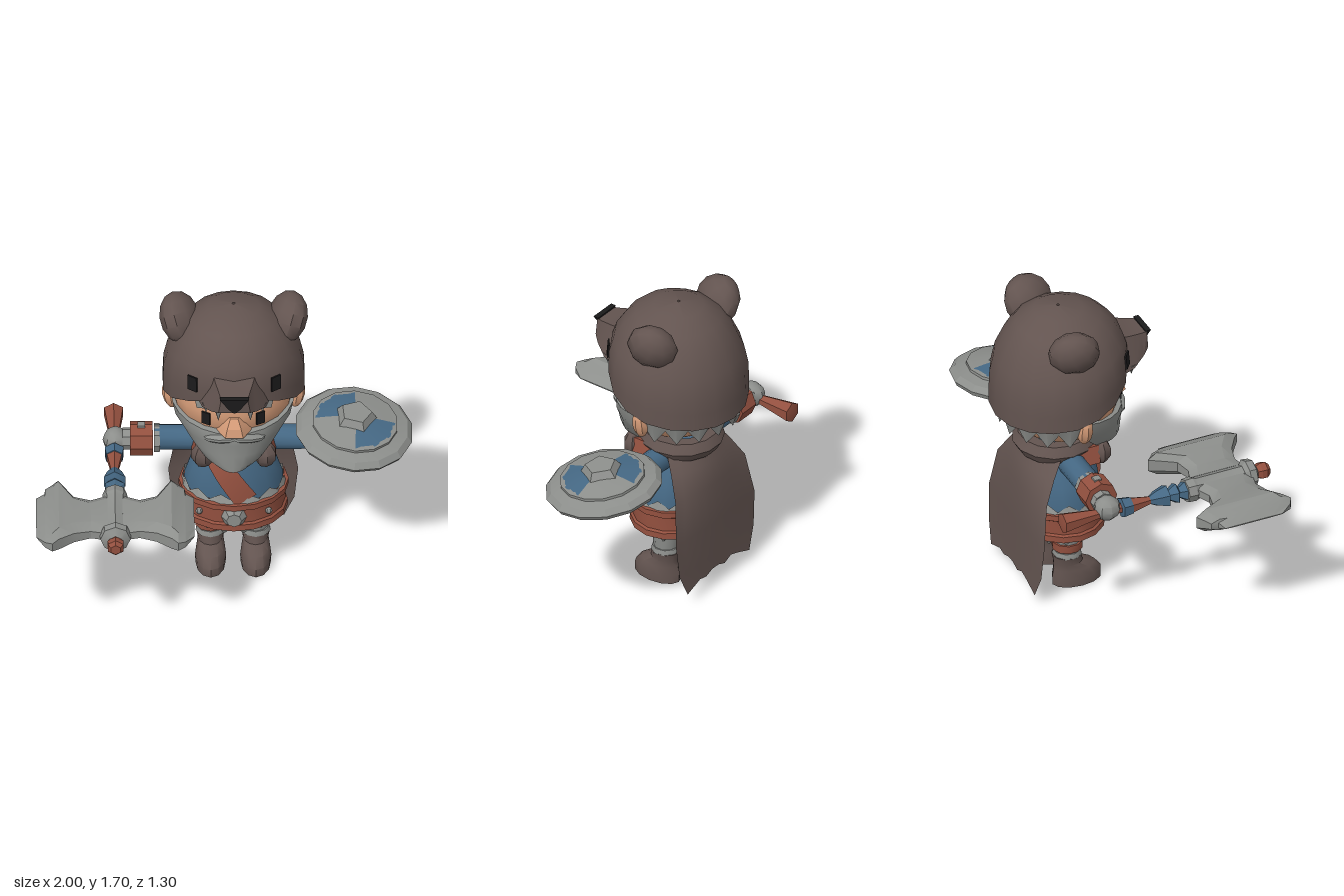
import * as THREE from 'three';
import { mergeVertices, toCreasedNormals } from 'three/addons/utils/BufferGeometryUtils.js';

const CX = 0.055, CZ = -0.29; // body axis
const mat = (name, color) => new THREE.MeshStandardMaterial({ name, color, side: THREE.DoubleSide });

export function createModel() {
  const root = new THREE.Group();
  root.name = 'warrior';
  const fur = mat('fur brown', 0x635450), grey = mat('steel grey', 0x8d8f8c), blue = mat('cloth blue', 0x456884);
  const red = mat('leather red', 0x93503f), skin = mat('skin', 0xd79d79), black = mat('black', 0x1b1a1b);

  function add(name, geo, m, pos = [0, 0, 0], rot = [0, 0, 0], parent = root, crease = 0.75) {
    const mesh = new THREE.Mesh(toCreasedNormals(geo, crease), m);
    mesh.name = name;
    mesh.position.set(...pos);
    mesh.rotation.set(...rot);
    parent.add(mesh);
    return mesh;
  }
  // Skin over a list of cross-sections
  function loft(rings, closed = true, caps = true) {
    const n = rings[0].length, idx = [], last = (rings.length - 1) * n;
    for (let i = 0; i < rings.length - 1; i++)
      for (let j = 0; j < (closed ? n : n - 1); j++) {
        const k = (j + 1) % n, a = i * n + j, b = i * n + k;
        idx.push(a, b, a + n, b, b + n, a + n);
      }
    if (closed && caps) for (let j = 1; j < n - 1; j++) {
      idx.push(0, j + 1, j);
      idx.push(last, last + j, last + j + 1);
    }
    const g = new THREE.BufferGeometry();
    g.setAttribute('position', new THREE.Float32BufferAttribute(rings.flat(2), 3));
    g.setIndex(idx);
    return g;
  }
  // Horizontal ellipse, or an arc of one
  const ring = (y, rx, rz, n = 16, x = CX, z = CZ, from = 0, len = Math.PI * 2) =>
    Array.from({ length: n }, (_, i) => {
      const a = from + len * i / (len > 6.28 ? n : n - 1);
      return [x + rx * Math.sin(a), y, z + rz * Math.cos(a)];
    });
  const lathe = (pts, n = 8) => mergeVertices(new THREE.LatheGeometry(pts.map(p => new THREE.Vector2(...p)), n));
  const sphere = (rx, ry, rz, w = 10, h = 7) => new THREE.SphereGeometry(1, w, h).scale(rx, ry, rz);
  const box = (w, h, d) => new THREE.BoxGeometry(w, h, d);
  const cylX = (r, len, n = 10) => new THREE.CylinderGeometry(r, r, len, n).rotateZ(Math.PI / 2);
  // Jagged trim: a straight edge joined to a toothed one
  function jagged(y0, r0, yA, yB, r1, n, from = 0, len = Math.PI * 2) {
    const a = ring(y0, r0[0], r0[1], n, CX, CZ, from, len);
    const b = ring(yA, r1[0], r1[1], n, CX, CZ, from, len).map((p, i) => [p[0], i % 2 ? yA : yB, p[2]]);
    return loft([a, b], len > 6.28, false);
  }

  // Legs and boots
  for (const s of [-1, 1]) {
    const x = 0.052 + s * 0.12;
    const boot = [[0, .08, .14, -.24], [.05, .083, .142, -.24], [.1, .076, .118, -.255], [.135, .068, .082, -.29], [.185, .078, .08, -.3]];
    add('boot', loft(boot.map(([y, rx, rz, z]) => ring(y, rx, rz, 12, x, z))), fur);
    add('leg', new THREE.CylinderGeometry(.085, .064, .22, 10), grey, [x, .28, -.295]);
    add('legTrim', new THREE.CylinderGeometry(.075, .081, .03, 9), grey, [x, .197, -.295]);
    if (s < 0) add('legStrap', new THREE.CylinderGeometry(.085, .083, .048, 10), red, [x, .247, -.295]);
  }

  // Torso, skirt and belt
  const torso = [[.48, .265, .215], [.57, .262, .212], [.66, .232, .203], [.74, .19, .19], [.82, .145, .165], [.88, .1, .12]];
  add('torso', loft(torso.map(([y, rx, rz]) => ring(y, rx, rz))), blue);
  add('hips', loft([ring(.27, .13, .1), ring(.31, .19, .16), ring(.37, .23, .2)]), grey);
  add('skirtTrim', jagged(.37, [.25, .23], .28, .33, [.205, .175], 24), grey);
  add('beltTrim', jagged(.51, [.28, .24], .575, .53, [.268, .222], 24), grey);
  const belt = [[.34, .265, .225], [.35, .288, .245], [.385, .287, .243], [.395, .275, .232], [.475, .275, .234], [.487, .292, .25], [.52, .292, .25], [.525, .262, .222]];
  add('belt', loft(belt.map(([y, rx, rz]) => ring(y, rx, rz))), red, [0, 0, 0], [0, 0, 0], root, .5);
  add('buckle', new THREE.CylinderGeometry(.04, .068, .04, 8).rotateX(Math.PI / 2), grey, [CX, .435, -.045], [0, 0, 0], root, .3);
  for (const s of [-1, 1]) add('beltStud', sphere(.02, .02, .015, 6, 4), grey, [CX + s * .185, .44, -.11]);

  // Sash across the chest
  const sash = [];
  for (let i = 0; i <= 8; i++) {
    const t = i / 8, y = .87 - .33 * t, x = -.1 + .22 * t;
    sash.push([-1, 1].map(s => {
      const px = x + s * .055, py = y + s * .03;
      const k = Math.max(0, Math.min(4.99, torso.findIndex(p => p[0] > py) - 1));
      const p = torso[k | 0], q = torso[(k | 0) + 1], f = (py - p[0]) / (q[0] - p[0]);
      const rx = p[1] + (q[1] - p[1]) * f + .02, rz = p[2] + (q[2] - p[2]) * f + .02;
      return [px, py, CZ + rz * Math.sqrt(Math.max(.1, 1 - ((px - CX) / rx) ** 2))];
    }));
  }
  add('sash', loft(sash, false), red);

  // Arms
  for (const s of [-1, 1]) {
    const at = d => CX + s * d;
    add('sleeve', cylX(.07, .34), blue, [at(.25), .79, -.3]);
    add('shoulderStrap', box(.045, .1, .17), red, [at(.19), .815, -.23], [0, 0, s * .25]);
    add('cuffTrim', cylX(.078, .03, 8), grey, [at(.408), .785, -.3]);
    add('cuff', cylX(.093, .12, 8), red, [at(.49), .785, -.295]);
    add('cuffStud', box(.04, .02, .04), grey, [at(.49), .872, -.295]);
    add('wrist', cylX(.06, .05, 8), grey, [at(.565), .78, -.3]);
    add('hand', sphere(.068, .07, .075, 8, 6), grey, [at(.628), .775, -.3]);
  }

  // Fur collar and cape
  add('collar', new THREE.TorusGeometry(.17, .06, 6, 14).rotateX(Math.PI / 2), fur, [CX, .86, -.31]);
  for (const s of [-1, 1]) add('collarTuft', sphere(.065, .075, .06, 7, 5), fur, [CX + s * .165, .81, -.12]);
  const rows = [[.9, .15, -.44, .1], [.84, .2, -.465, .1], [.76, .25, -.51, .08], [.64, .305, -.54, .04], [.4, .345, -.548, .015], [.2, .325, -.552, .01], [.09, .27, -.555, 0]];
  add('cape', loft(rows.map(([y, w, z, c], r) => Array.from({ length: 11 }, (_, i) => {
    const u = i / 5 - 1;
    return [CX + u * w, r === 6 ? y + [-.02, 0, .02, .035, .01, .03, .03, .01, .02, 0, -.02][i] : y, z + c * u * u];
  })), false), fur);

  // Head, face and beard
  add('head', sphere(.325, .29, .315, 18, 12), skin, [CX - .005, 1.17, -.28]);
  for (const s of [-1, 1]) {
    add('ear', sphere(.045, .09, .045, 8, 6), skin, [CX + s * .335, 1.09, -.29], [0, 0, -s * .15]);
    add('eye', box(.05, .075, .009), black, [CX + s * .145 - .005, 1.15, .008], [0, s * .5, 0]);
    add('eyebrow', box(.13, .045, .05), grey, [CX + s * .135, 1.235, -.015], [0, s * .45, -s * .2]);
  }
  const nose = [[1.05, .06, .02], [1.07, .095, .055], [1.12, .075, .045], [1.17, .04, .012]];
  add('nose', loft(nose.map(([y, w, d]) => [[CX - w, y, 0], [CX - w * .5, y, .03 + d], [CX + w * .5, y, .03 + d], [CX + w, y, 0]])), skin, [0, 0, 0], [0, 0, 0], root, .3);
  const beard = [[.815, .1, .15, -.1], [.85, .17, .19, -.14], [.92, .235, .25, -.2], [.99, .29, .31, -.26], [1.03, .315, .325, -.27], [1.1, .332, .325, -.28]];
  add('beard', loft(beard.map(([y, rx, rz, z], r) => ring(y, rx, rz, 13, CX - .005, z, -Math.PI / 2, Math.PI)
    .map((p, i) => [p[0], r === 5 ? y + .02 - .055 * Math.sin(Math.PI * i / 12) : y, p[2]]))), grey);
  for (const s of [-1, 1])
    add('moustache', sphere(.1, .026, .035, 8, 5), grey, [CX + s * .075, 1.035, .032], [0, s * .3, -s * .15]);
  add('hairTrim', jagged(1.13, [.36, .345], .99, 1.07, [.33, .32], 17, Math.PI * .52, Math.PI * .96), grey);

  // Bear hood: rim rises towards the front
  const hood = [[0, 1], [.16, 1], [.32, .99], [.5, .93], [.7, .79], [.85, .62], [.96, .36], [1, .02]];
  const rim = z => {
    const k = [[-.66, 1.09], [-.29, 1.14], [-.06, 1.215], [.08, 1.32]];
    const i = z < k[1][0] ? 0 : z < k[2][0] ? 1 : 2;
    return k[i][1] + (k[i + 1][1] - k[i][1]) * (z - k[i][0]) / (k[i + 1][0] - k[i][0]);
  };
  add('hood', loft(hood.map(([t, r]) => ring(0, .382, .368, 18).map(p => {
    const y0 = rim(p[2]);
    return [CX + (p[0] - CX) * r, y0 + t * (1.69 - y0), CZ + (p[2] - CZ) * r];
  })), true, false), fur, [0, 0, 0], [0, 0, 0], root, 1);
  const snout = [[-.04, .2, .13, 1.26, 1.48], [.08, .17, .1, 1.28, 1.44], [.16, .12, .08, 1.31, 1.425], [.2, .085, .07, 1.33, 1.42]];
  add('hoodSnout', loft(snout.map(([z, wb, wt, y0, y1]) =>
    [[CX - wb, y0, z], [CX + wb, y0, z], [CX + wt, y1, z], [CX - wt, y1, z]])), fur, [0, 0, 0], [0, 0, 0], root, .4);
  const tri = new THREE.Shape([[-.078, .045], [-.03, -.02], [0, -.045], [.03, -.02], [.078, .045]].map(p => new THREE.Vector2(...p)));
  add('hoodNose', new THREE.ExtrudeGeometry(tri, { depth: .03, bevelEnabled: false }), black, [CX, 1.385, .19]);
  for (const s of [-1, 1]) {
    add('hoodEye', box(.06, .085, .009), black, [CX + s * .222, 1.385, .012], [-.1, s * .68, 0]);
    add('fang', new THREE.ConeGeometry(.028, .09, 5), grey, [CX + s * .085, 1.275, .135], [Math.PI, 0, 0]);
    add('sideTooth', new THREE.ConeGeometry(.022, .06, 5), grey, [CX + s * .15, 1.265, .07], [Math.PI, 0, 0]);
    add('hoodEar', sphere(.1, .145, .14, 10, 7), fur, [CX + s * .285, 1.565, -.33], [-.45, s * .4, -s * .3]);
  }

  // Double-headed axe, haft along z
  const axe = new THREE.Group();
  axe.name = 'axe';
  axe.position.set(-.58, .757, 0);
  root.add(axe);
  const haft = (name, m, pts, n = 6) => add(name, lathe(pts, n).rotateX(Math.PI / 2), m, [0, 0, 0], [0, 0, 0], axe, .4);
  haft('haftEnd', red, [[0, -.575], [.058, -.565], [.028, -.36], [.028, -.2]]);
  haft('gripWrap', blue, [[.03, -.225], [.058, -.22], [.05, -.165], [.02, -.16]]);
  haft('haft', red, [[.045, -.165], [.022, -.05], [.022, .15]]);
  haft('haftWrap', blue, [[.02, -.06], [.045, .045 - .06], [.065, .045], [.03, .055], [.06, .1], [.03, .115], [.055, .15], [.055, .18]]);
  haft('axeSocket', grey, [[.03, .15], [.065, .155], [.068, .2], [.06, .22], [.06, .49], [.085, .51], [.08, .55], [.03, .575]], 8);
  haft('axeTip', red, [[.03, .56], [.048, .595], [.048, .625], [.03, .645], [0, .645]]);
  const blade = [[.04, .2, .53, .045], [.13, .238, .51, .045], [.22, .215, .535, .058], [.3, .08, .59, .068], [.335, .11, .62, .05], [.37, .135, .6, .035], [.375, .175, .595, .033], [.42, .195, .53, .003]];
  for (const s of [-1, 1])
    add('axeBlade', loft(blade.map(([x, a, b, t]) =>
      [[a, t * .5], [a + .05, t], [b - .06, t], [b, t * .5], [b, -t * .5], [b - .06, -t], [a + .05, -t], [a, -t * .5]].map(([z, y]) => [s * x, y, z]))),
      grey, [0, 0, 0], [0, 0, 0], axe, .4);

  // Round shield on the left hand
  const shield = new THREE.Group();
  shield.name = 'shield';
  shield.position.set(.695, .865, -.275);
  shield.rotation.set(.12, 0, -.1);
  root.add(shield);
  const part = (name, geo, m, pos, rot) => add(name, geo, m, pos, rot, shield, .3);
  part('shieldRim', lathe([[0, 0], [.27, -.03], [.305, -.035], [.318, -.01], [.29, .02], [.23, .035], [.23, .05], [.205, .055]], 14), grey);
  for (let q = 0; q < 4; q++)
    part('shieldQuarter', new THREE.LatheGeometry([[.215, .053], [.14, .07], [.08, .08]].map(p => new THREE.Vector2(...p)), 3, q * Math.PI / 2, Math.PI / 2), q % 2 ? grey : blue);
  part('shieldBoss', new THREE.CylinderGeometry(.085, .115, .045, 5), grey, [0, .095, 0], [0, .4, 0]);
  add('shieldGrip', new THREE.CylinderGeometry(.035, .03, .2, 6).rotateX(Math.PI / 2), fur, [.69, .79, -.28]);
  return root;
}
